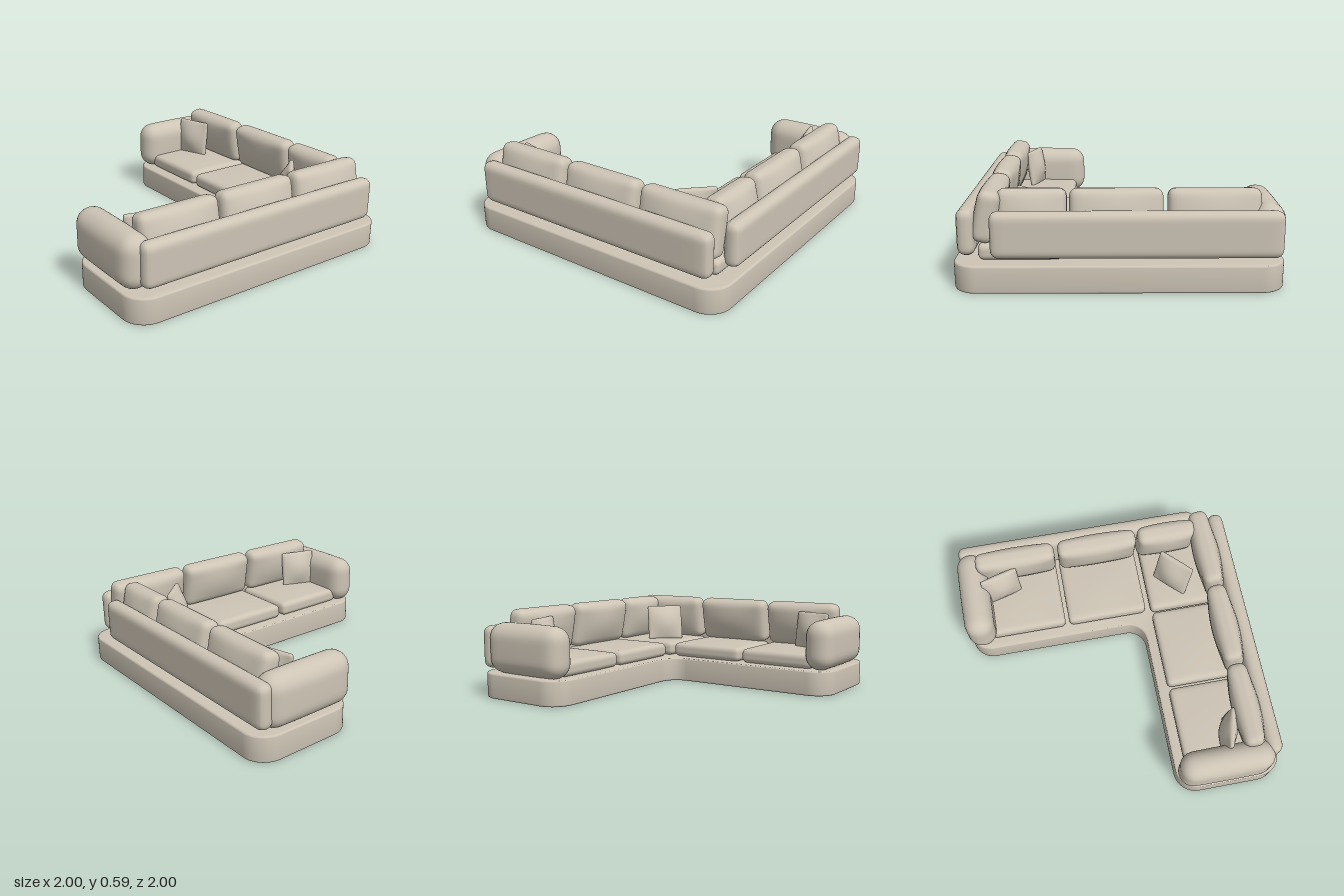
import * as THREE from 'three';
import { mergeVertices, toCreasedNormals } from 'three/addons/utils/BufferGeometryUtils.js';

const fabric = new THREE.MeshStandardMaterial({ color: 0xcdc4b5 });
fabric.name = 'beige fabric';

// Rounded box with edge radius r whose faces swell by the given amounts along x, y, z
function softBox(w, h, d, r, swell = [0, 0, 0], n = 20) {
  const box = new THREE.BoxGeometry(2, 2, 2, n, n, n);
  box.deleteAttribute('uv');
  box.deleteAttribute('normal');
  const geo = mergeVertices(box);
  const pos = geo.attributes.position;
  const half = new THREE.Vector3(w / 2, h / 2, d / 2);
  const inner = half.clone().subScalar(r);
  const p = new THREE.Vector3(), core = new THREE.Vector3();
  for (let i = 0; i < pos.count; i++) {
    p.fromBufferAttribute(pos, i);
    // crowd the grid towards the edges, where the curvature is
    p.set(...p.toArray().map((t) => Math.sin(t * Math.PI / 2))).multiply(half);
    core.copy(p).clamp(inner.clone().negate(), inner);
    p.sub(core).setLength(r).add(core);
    const q = p.clone().divide(half).toArray();
    const c = q.map((t) => Math.cos(Math.min(1, Math.abs(t)) * Math.PI / 2));
    p.x += swell[0] * q[0] * c[1] * c[2];
    p.y += swell[1] * q[1] * c[0] * c[2];
    p.z += swell[2] * q[2] * c[0] * c[1];
    pos.setXYZ(i, p.x, p.y, p.z);
  }
  geo.computeVertexNormals();
  return geo;
}

function add(parent, name, geo, x, y, z) {
  const mesh = new THREE.Mesh(geo, fabric);
  mesh.name = name;
  mesh.position.set(x, y, z);
  parent.add(mesh);
  return mesh;
}

// L-shaped plinth with rounded corners
function plinthGeometry() {
  const b = 0.012, r = 0.14, k = 0.45;
  const lo = -0.99 + b, hi = 1 - b, mid = 0.3 - b;
  const pts = [[lo, hi], [lo, mid], [mid, mid], [mid, lo], [hi, lo], [hi, hi]]
    .map(([x, y]) => new THREE.Vector2(x, y));
  const shape = new THREE.Shape();
  pts.forEach((c, i) => {
    const toPrev = pts[(i + 5) % 6].clone().sub(c).setLength(r);
    const toNext = pts[(i + 1) % 6].clone().sub(c).setLength(r);
    const a = c.clone().add(toPrev), e = c.clone().add(toNext);
    const ca = c.clone().addScaledVector(toPrev, k), ce = c.clone().addScaledVector(toNext, k);
    if (i === 0) shape.moveTo(a.x, a.y);
    else shape.lineTo(a.x, a.y);
    shape.bezierCurveTo(ca.x, ca.y, ce.x, ce.y, e.x, e.y);
  });
  shape.closePath();
  const geo = new THREE.ExtrudeGeometry(shape, {
    depth: 0.172 - 2 * b, bevelThickness: b, bevelSize: b, bevelSegments: 4, curveSegments: 14,
  });
  geo.rotateX(Math.PI / 2).translate(0, 0.172 - b, 0);
  return toCreasedNormals(geo, 0.6);
}

// One straight run of sofa, its back towards +z; spans are [from, to] along x
function sofaRun(name, { seats, backs, rail, armX }) {
  const run = new THREE.Group();
  run.name = name;
  const mid = ([a, b]) => (a + b) / 2;
  const len = ([a, b]) => b - a;
  for (const s of seats) {
    add(run, 'seatCushion', softBox(len(s), 0.1, 0.51, 0.035, [0, 0.012, 0]), mid(s), 0.222, 0.597);
  }
  for (const s of backs) {
    const cushion = add(run, 'backCushion',
      softBox(len(s), 0.32, 0.13, 0.05, [0, 0, 0.03]), mid(s), 0.433, 0.8);
    cushion.rotation.x = -0.19;
  }
  add(run, 'backrest', softBox(len(rail), 0.288, 0.11, 0.052), mid(rail), 0.342, 0.922);
  add(run, 'armrest', softBox(0.2, 0.335, 0.64, 0.098, [0.006, 0.006, 0]), armX, 0.34, 0.6);
  return run;
}

// Thin throw pillow, plump in the middle
function pillow(parent, x, z, yaw, tilt) {
  const mesh = add(parent, 'throwPillow', softBox(0.27, 0.27, 0.03, 0.014, [0, 0, 0.045]), x, 0.4, z);
  mesh.rotation.set(tilt, yaw, 0, 'YXZ');
}

export function createModel() {
  const model = new THREE.Group();
  model.name = 'cornerSofa';
  add(model, 'plinth', plinthGeometry(), 0, 0, 0);

  const frontRun = sofaRun('frontRun', {
    seats: [[-0.84, -0.288], [-0.262, 0.306], [0.33, 0.9]],
    backs: [[-0.85, -0.286], [-0.26, 0.305], [0.33, 0.9]],
    rail: [-0.905, 0.91],
    armX: -0.893,
  });
  pillow(frontRun, -0.7, 0.65, -0.27, 0.12);
  pillow(frontRun, 0.525, 0.535, Math.PI / 4, 0.28);

  // The side run is turned so that its back faces +x
  const sideRun = sofaRun('sideRun', {
    seats: [[-0.306, 0.262], [0.288, 0.84]],
    backs: [[-0.74, -0.32], [-0.305, 0.26], [0.286, 0.85]],
    rail: [-0.77, 0.972],
    armX: 0.893,
  });
  pillow(sideRun, 0.7, 0.65, 0.27, 0.12);
  sideRun.rotation.y = Math.PI / 2;

  model.add(frontRun, sideRun);
  return model;
}
